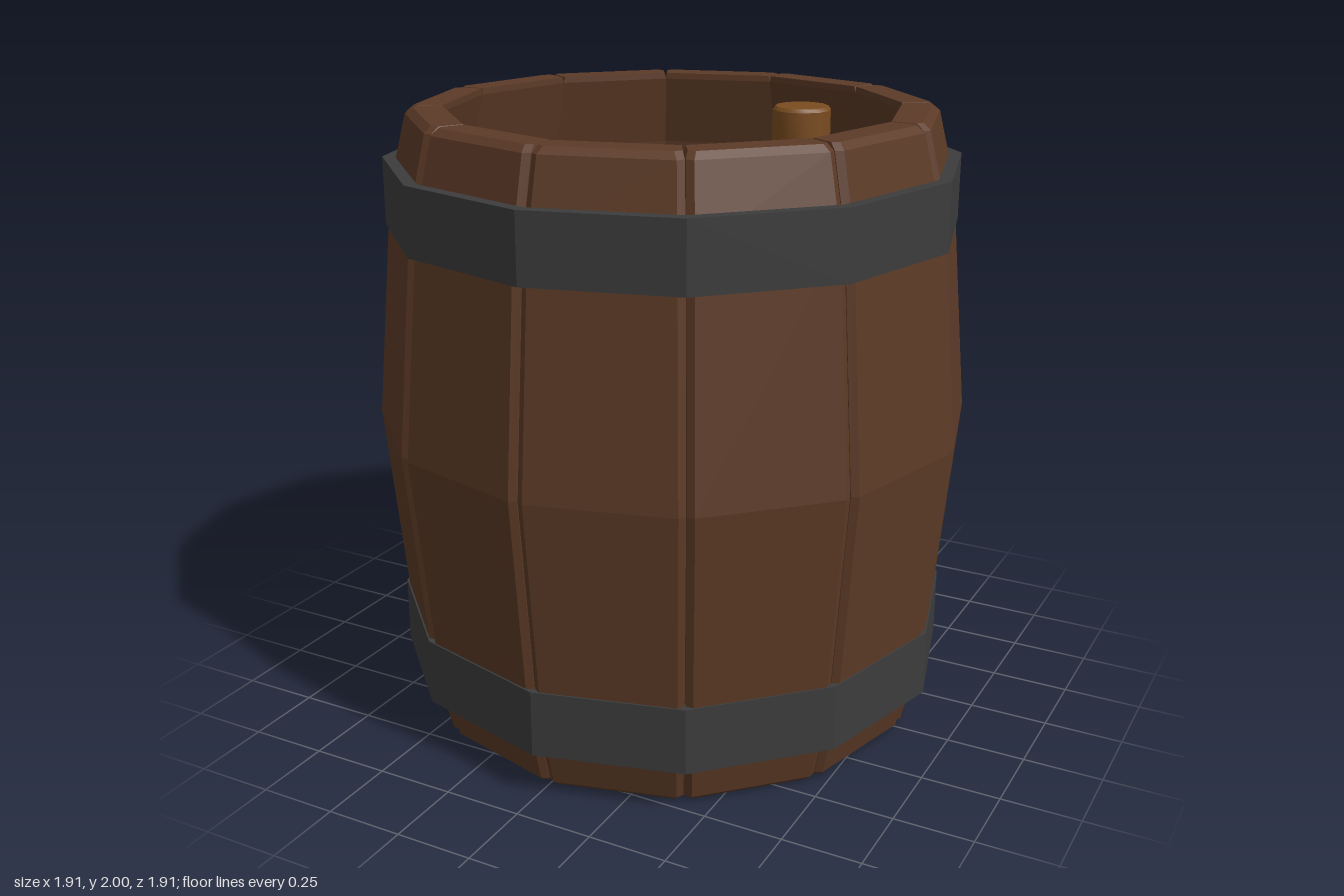
import * as THREE from 'three';
import { toCreasedNormals } from 'three/addons/utils/BufferGeometryUtils.js';

const SIDES = 12;
const HALF = Math.PI / SIDES;
const THICK = 0.12;

// One stave: a bevelled cross-section lofted along the barrel's bulge, facing +z
function staveGeometry() {
  // [height, outer corner radius, inset at the rounded ends]
  const rows = [
    [0, 0.829, 0.018], [0.02, 0.834, 0], [0.25, 0.892, 0], [0.985, 0.96, 0],
    [1.72, 0.892, 0], [1.95, 0.834, 0], [1.97, 0.829, 0.018],
  ];
  const gap = 0.006, bevel = 0.018;
  const pos = [], index = [];
  for (const [y, r, inset] of rows) {
    const a = r * Math.cos(HALF) - inset;
    const w = r * Math.sin(HALF) - gap - inset * 0.6;
    const ri = r - THICK;
    const ai = ri * Math.cos(HALF) + inset * 0.3;
    const wi = ri * Math.sin(HALF) - inset * 0.2;
    const loop = [
      [-w, a - bevel], [-w + bevel, a], [w - bevel, a], [w, a - bevel], [wi, ai], [-wi, ai],
    ];
    for (const [x, z] of loop) pos.push(x, y, z);
  }
  const n = 6, last = (rows.length - 1) * n;
  for (let j = 0; j < rows.length - 1; j++) {
    for (let i = 0; i < n; i++) {
      const a = j * n + i, b = j * n + (i + 1) % n;
      index.push(a, b, b + n, a, b + n, a + n);
    }
  }
  // End caps
  for (let i = 1; i < n - 1; i++) {
    index.push(last, last + i, last + i + 1, 0, i + 1, i);
  }
  const g = new THREE.BufferGeometry();
  g.setAttribute('position', new THREE.Float32BufferAttribute(pos, 3));
  g.setIndex(index);
  return toCreasedNormals(g, 0.1);
}

// Flat-sided iron band with a rectangular section
function hoopGeometry(y0, y1) {
  const inner = 0.868, outer = 0.908;
  const profile = [[inner, y0], [outer, y0], [outer, y1], [inner, y1], [inner, y0]]
    .map(([x, y]) => new THREE.Vector2(x, y));
  return toCreasedNormals(new THREE.LatheGeometry(profile, SIDES), 0.3);
}

export function createModel() {
  const wood = new THREE.MeshStandardMaterial({ color: 0x5c3a26 });
  wood.name = 'dark wood';
  const iron = new THREE.MeshStandardMaterial({ color: 0x3c3c3c });
  iron.name = 'iron';
  const cork = new THREE.MeshStandardMaterial({ color: 0x7a4c20 });
  cork.name = 'cork';

  const barrel = new THREE.Group();
  barrel.name = 'barrel';
  const add = (name, geometry, material) => {
    const mesh = new THREE.Mesh(geometry, material);
    mesh.name = name;
    barrel.add(mesh);
    return mesh;
  };

  // Ring of staves, open at both ends
  const stave = staveGeometry();
  for (let i = 0; i < SIDES; i++) {
    add('stave' + (i + 1), stave, wood).rotation.y = (2 * i + 1) * HALF;
  }

  // Hoops
  add('lowerHoop', hoopGeometry(0.15, 0.363), iron);
  add('upperHoop', hoopGeometry(1.6, 1.813), iron);

  // Stopper with a softened top edge
  const stopper = [[0, 1.88], [0.087, 1.88], [0.087, 1.99], [0.079, 2], [0, 2]]
    .map(([x, y]) => new THREE.Vector2(x, y));
  add('stopper', toCreasedNormals(new THREE.LatheGeometry(stopper, 12), 0.6), cork)
    .position.set(0.44, 0, 0.02);

  return barrel;
}
